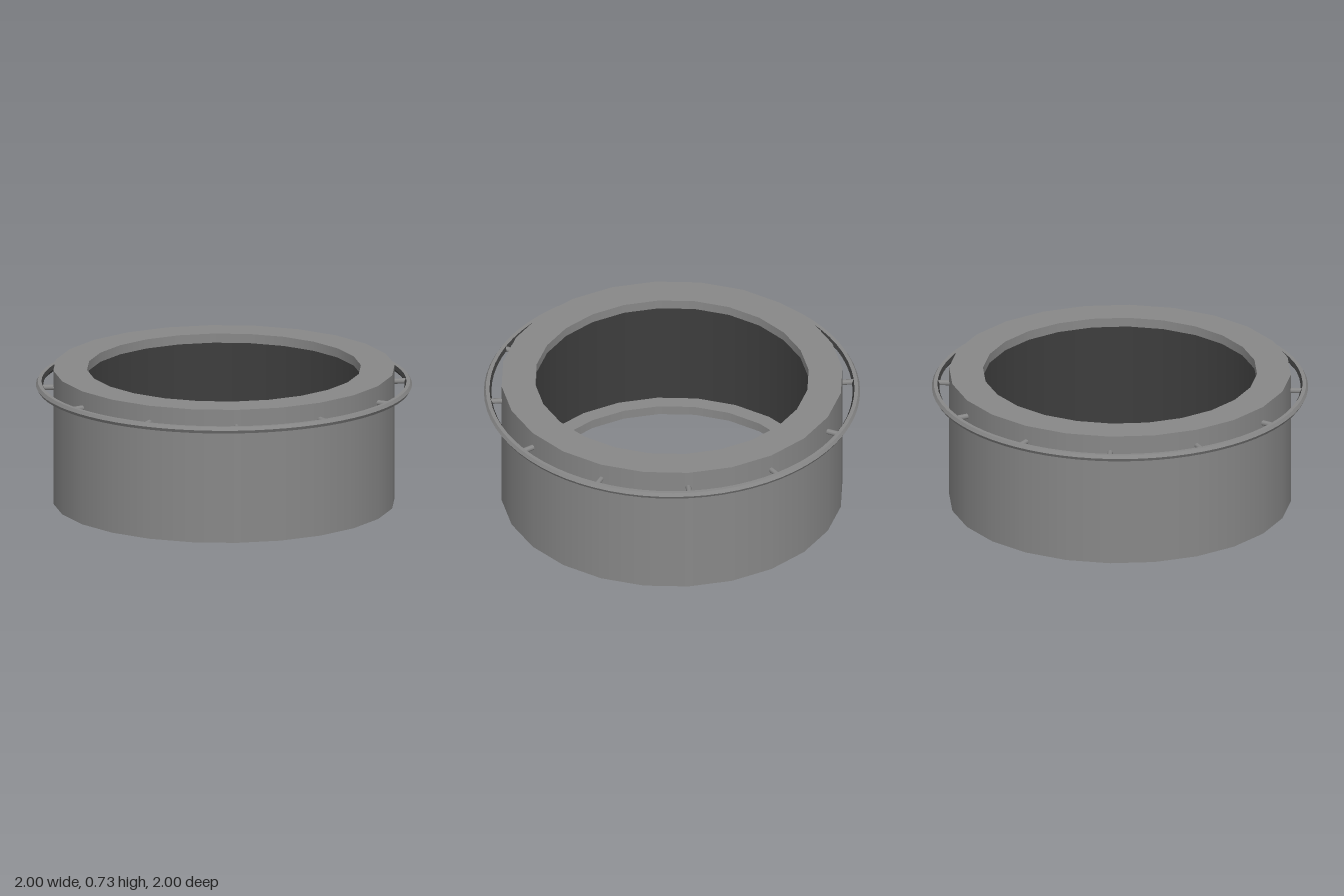
import * as THREE from 'three';

const SIDES = 24;
const OUTER = 0.908, HOLE = 0.728, CAVITY = 0.81;
const HEIGHT = 0.728, LIP = 0.05;
const RING_R = 0.978, RING_Y = 0.637, RING_T = 0.02;

export function createModel() {
  const group = new THREE.Group();
  const grey = new THREE.MeshStandardMaterial({ color: 0x888888 });
  grey.name = 'mid grey';
  const dark = new THREE.MeshStandardMaterial({ color: 0x3d3d3d });
  dark.name = 'dark grey';

  const add = (geometry, material, name, parent = group) => {
    const mesh = new THREE.Mesh(geometry, material);
    mesh.name = name;
    parent.add(mesh);
    return mesh;
  };

  // One turned band between two profile points; separate bands keep rims sharp
  const band = (name, from, to, material = grey, sides = SIDES) =>
    add(new THREE.LatheGeometry([new THREE.Vector2(...from), new THREE.Vector2(...to)], sides), material, name);

  // Body: outer wall, end faces, and lips around both openings
  band('outerWall', [OUTER, 0], [OUTER, HEIGHT]);
  band('topFace', [OUTER, HEIGHT], [HOLE, HEIGHT]);
  band('topLip', [HOLE, HEIGHT], [HOLE, HEIGHT - LIP]);
  band('topLipUnderside', [HOLE, HEIGHT - LIP], [CAVITY, HEIGHT - LIP]);
  band('innerLining', [CAVITY, HEIGHT - LIP], [CAVITY, LIP], dark);
  band('bottomLipUpperSide', [CAVITY, LIP], [HOLE, LIP]);
  band('bottomLip', [HOLE, LIP], [HOLE, 0]);
  band('bottomFace', [HOLE, 0], [OUTER, 0]);

  // Handrail: six-sided section with its inner faces dark
  const corner = (i) => {
    const a = (i * Math.PI) / 3;
    return [RING_R + RING_T * Math.cos(a), RING_Y + RING_T * Math.sin(a)];
  };
  for (let i = 0; i < 6; i++) {
    const inner = i === 2 || i === 3;
    band(inner ? 'railInnerFace' : 'railFace', corner(i), corner(i + 1), inner ? dark : grey, 72);
  }

  // Twelve short brackets joining the rail to the wall
  for (let i = 0; i < 12; i++) {
    const pivot = new THREE.Group();
    pivot.name = 'railBracket';
    pivot.rotation.y = (i * Math.PI) / 6;
    const start = OUTER - 0.03;
    const rod = add(new THREE.CylinderGeometry(0.015, 0.015, RING_R - start, 8), grey, 'bracketRod', pivot);
    rod.rotation.z = Math.PI / 2;
    rod.position.set((start + RING_R) / 2, RING_Y, 0);
    group.add(pivot);
  }

  return group;
}
